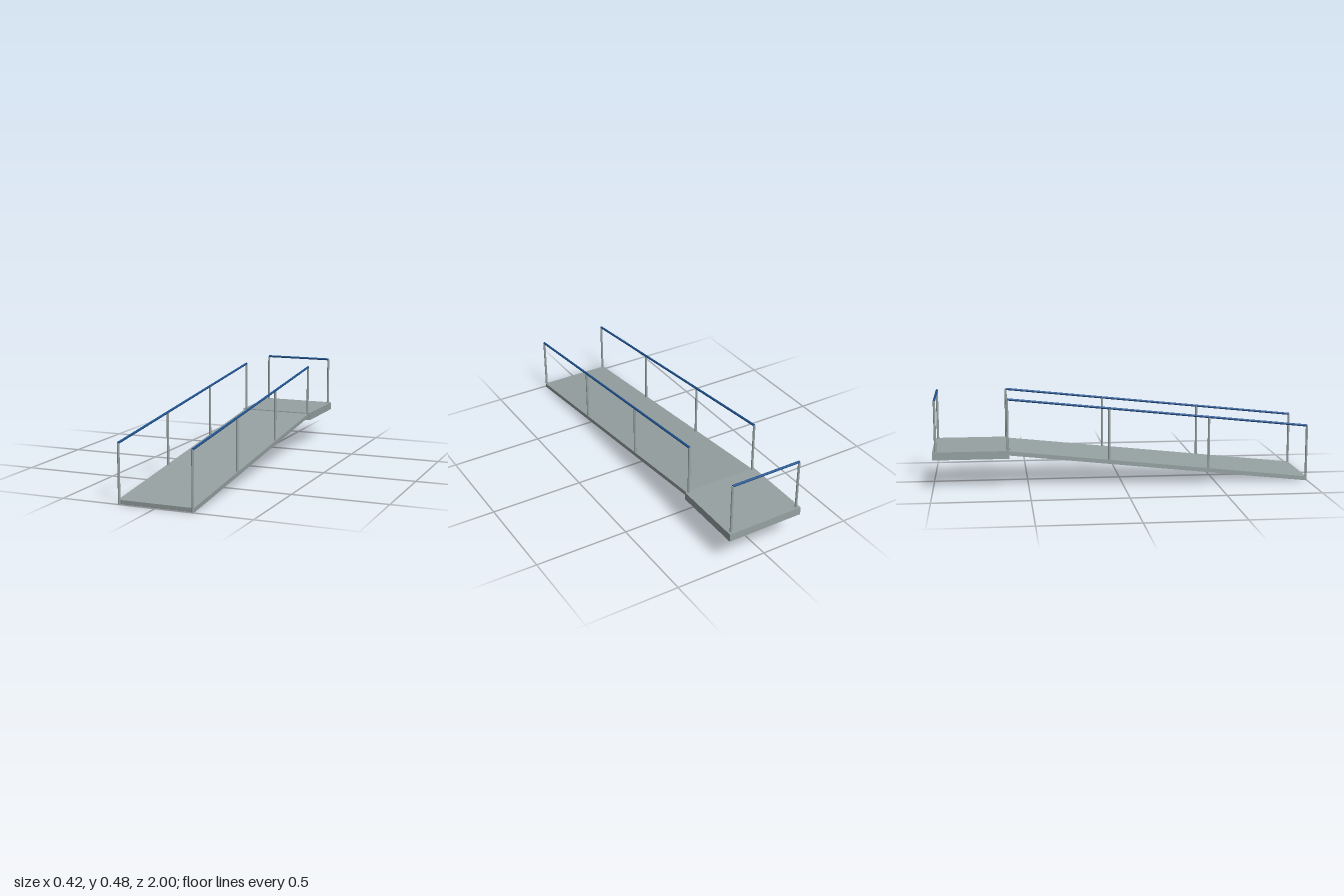
import * as THREE from 'three';

export function createModel() {
  const group = new THREE.Group();
  group.name = 'accessRamp';
  const concrete = new THREE.MeshStandardMaterial({ name: 'pale grey', color: 0x97a2a2 });
  const blue = new THREE.MeshStandardMaterial({ name: 'rail blue', color: 0x1f5390 });

  const R = 0.0062, postX = 0.1935;
  const zFront = 0.9935, zTop = -0.608;

  function add(name, geometry, material) {
    const mesh = new THREE.Mesh(geometry, material);
    mesh.name = name;
    group.add(mesh);
    return mesh;
  }

  // round bar between two points
  function bar(name, a, b, material) {
    const from = new THREE.Vector3(...a), to = new THREE.Vector3(...b);
    const dir = to.clone().sub(from);
    const mesh = add(name, new THREE.CylinderGeometry(R, R, dir.length(), 16), material);
    mesh.position.copy(from).add(to).multiplyScalar(0.5);
    mesh.quaternion.setFromUnitVectors(new THREE.Vector3(0, 1, 0), dir.normalize());
  }

  // sloping deck
  const z0 = 0.994, z1 = -0.6, y0 = 0.0112, y1 = 0.1835;
  const deck = add('rampDeck',
    new THREE.BoxGeometry(0.4, 0.022, Math.hypot(z0 - z1, y1 - y0)), concrete);
  deck.position.set(0, (y0 + y1) / 2, (z0 + z1) / 2);
  deck.rotation.x = Math.atan2(y1 - y0, z0 - z1);

  // level landing at the back
  const landing = add('landing', new THREE.BoxGeometry(0.42, 0.042, 0.4), concrete);
  landing.position.set(0, 0.178, -0.8);

  // side handrails with four posts each
  const railY = (t) => THREE.MathUtils.lerp(0.3, 0.469, t);
  for (const side of [1, -1]) {
    const name = side > 0 ? 'left' : 'right';
    const x = side * postX;
    for (let i = 0; i < 4; i++) {
      const t = i / 3, z = THREE.MathUtils.lerp(zFront, zTop, t);
      const foot = THREE.MathUtils.lerp(y0, y1, t) - 0.0112;
      bar(name + 'Post' + (i + 1), [x, foot, z], [x, railY(t), z], concrete);
    }
    bar(name + 'Handrail', [x, railY(0), zFront], [x, railY(1), zTop], blue);
    bar(name + 'BackPost', [x, 0.19, -0.983], [x, 0.467, -0.983], concrete);
  }

  // rail across the back of the landing
  bar('backHandrail', [-postX, 0.467, -0.983], [postX, 0.467, -0.983], blue);
  return group;
}
